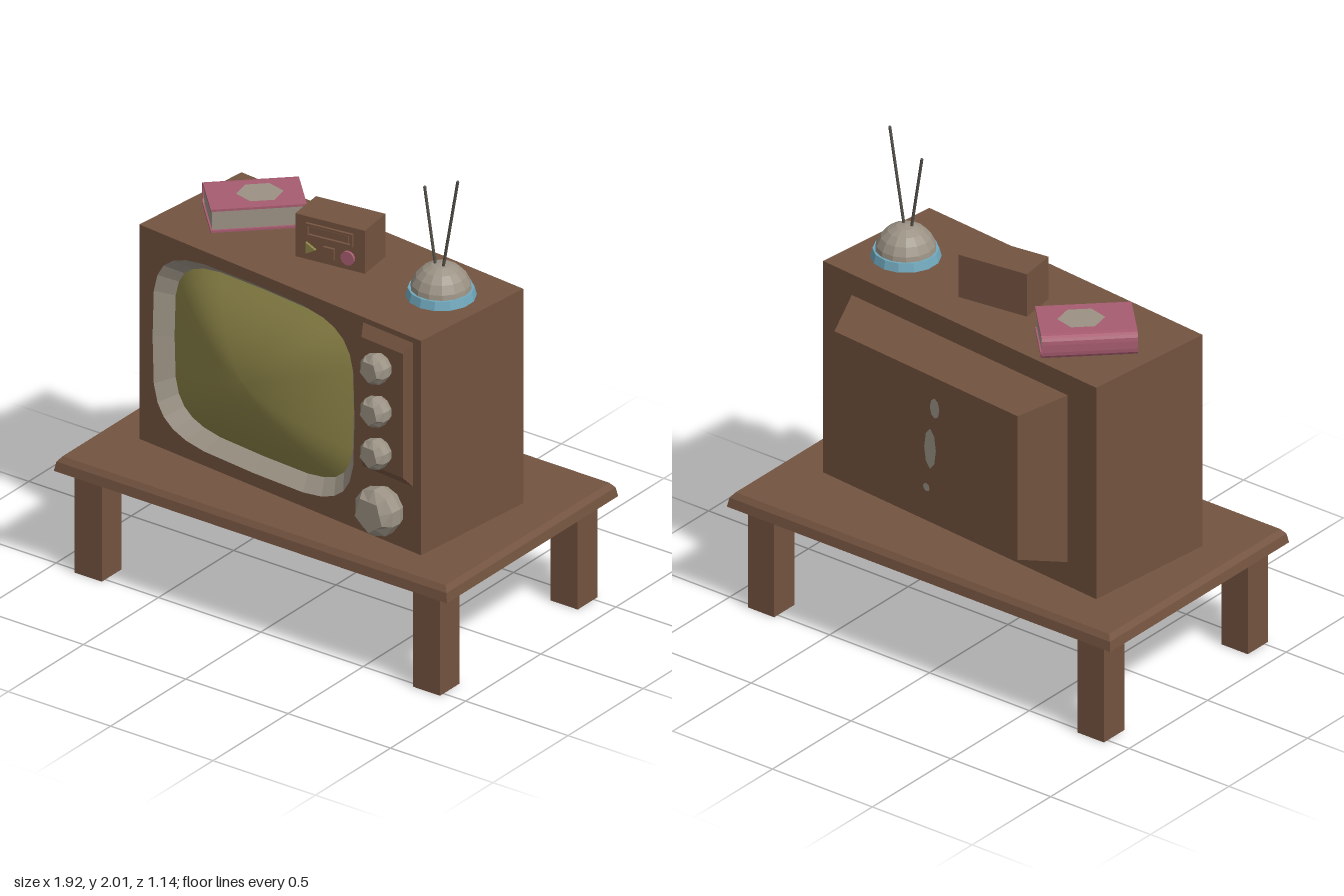
import * as THREE from 'three';

const mat = (name, color) => {
  const m = new THREE.MeshStandardMaterial({ color });
  m.name = name;
  return m;
};

// Separate every face so it gets its own flat normal
const flat = (g) => {
  const f = g.index ? g.toNonIndexed() : g;
  f.computeVertexNormals();
  return f;
};

// Box whose +z end is scaled to a smaller rectangle; base sits at z = 0
function frustum(w, h, d, w2, h2) {
  const g = new THREE.BoxGeometry(w, h, d).translate(0, 0, d / 2);
  const p = g.attributes.position;
  for (let i = 0; i < p.count; i++) {
    if (p.getZ(i) > d / 2) p.setXY(i, p.getX(i) * w2 / w, p.getY(i) * h2 / h);
  }
  return flat(g);
}

// Rounded tube-screen outline
const N = 28;
function outline(a, b) {
  const pts = [];
  const f = (v) => Math.sign(v) * Math.pow(Math.abs(v), 2 / 4.2);
  for (let i = 0; i < N; i++) {
    const t = (i / N) * Math.PI * 2;
    pts.push(new THREE.Vector2(a * f(Math.cos(t)), b * f(Math.sin(t))));
  }
  return pts;
}

// Skin between outlines, listed from the outside in: [halfWidth, halfHeight, z]
function loft(rings) {
  const pos = [], idx = [];
  rings.forEach(([a, b, z]) => outline(a, b).forEach((p) => pos.push(p.x, p.y, z)));
  for (let r = 0; r < rings.length - 1; r++) {
    for (let i = 0; i < N; i++) {
      const a = r * N + i, b = r * N + (i + 1) % N;
      idx.push(a, b, b + N, a, b + N, a + N);
    }
  }
  const g = new THREE.BufferGeometry();
  g.setAttribute('position', new THREE.Float32BufferAttribute(pos, 3));
  g.setIndex(idx);
  g.computeVertexNormals();
  return g;
}

// Faceted dial with a five-sided face, pointing along +z
function knobGeometry(r, h) {
  const profile = [[0.85, 0], [1, 0.3], [1, 0.7], [0.74, 1], [0, 1]]
    .map(([x, y]) => new THREE.Vector2(x * r, y * h));
  const g = new THREE.LatheGeometry(profile, 10);
  const p = g.attributes.position;
  for (let i = 0; i < p.count; i++) {
    const odd = Math.floor(i / profile.length) % 2;
    if (odd && p.getY(i) > 0.9 * h) p.setXYZ(i, p.getX(i) * 0.81, p.getY(i), p.getZ(i) * 0.81);
  }
  return flat(g.rotateX(Math.PI / 2));
}

export function createModel() {
  const wood = mat('wood brown', 0x73533f);
  const grey = mat('warm grey', 0x9b9284);
  const olive = mat('screen olive', 0x8a8146);
  const pink = mat('book pink', 0xa75c70);
  const blue = mat('ring blue', 0x70a8bc);
  const metal = mat('dark metal', 0x55514a);

  const root = new THREE.Group();
  const add = (parent, name, g, m, x = 0, y = 0, z = 0) => {
    const mesh = new THREE.Mesh(g, m);
    mesh.name = name;
    mesh.position.set(x, y, z);
    parent.add(mesh);
    return mesh;
  };
  const group = (name, x, y, z, turn) => {
    const g = new THREE.Group();
    g.name = name;
    g.position.set(x, y, z);
    g.rotation.y = turn;
    root.add(g);
    return g;
  };
  const box = (w, h, d) => new THREE.BoxGeometry(w, h, d);

  // Table
  const table = group('table', 0, 0, 0, 0);
  const lie = (g) => g.rotateX(-Math.PI / 2);
  add(table, 'tableTop', lie(frustum(1.92, 1.14, 0.04, 1.905, 1.125)), wood, 0, 0.45, 0);
  add(table, 'tableTopBevel', lie(frustum(1.905, 1.125, 0.022, 1.87, 1.09)), wood, 0, 0.49, 0);
  for (const sx of [-1, 1]) for (const sz of [-1, 1]) {
    add(table, 'leg', box(0.132, 0.45, 0.13), wood, sx * 0.826, 0.225, sz * 0.458);
  }

  // Television cabinet, slightly turned; front slab has the screen opening
  const tv = group('television', -0.0075, 0, 0.02, -0.1);
  const W = 1.4925, H = 0.95, midY = 0.987, scrX = -0.14;
  add(tv, 'cabinet', box(W, H, 0.5), wood, 0, midY, -0.05);
  const face = new THREE.Shape([[-1, -1], [1, -1], [1, 1], [-1, 1]]
    .map(([x, y]) => new THREE.Vector2(x * W / 2, y * H / 2)));
  face.holes.push(new THREE.Path(outline(0.535, 0.42).map((p) => p.add(new THREE.Vector2(scrX, 0.003))).reverse()));
  add(tv, 'cabinetFront', new THREE.ExtrudeGeometry(face, { depth: 0.102, bevelEnabled: false }), wood, 0, midY, 0.2);
  add(tv, 'cabinetBack', frustum(1.18, 0.75, 0.192, 1.0, 0.645).rotateY(Math.PI), wood, 0, 0.994, -0.3);

  // Worn patches on the back
  [[-0.05, 1.18, 0.026, 0.045], [-0.025, 0.99, 0.032, 0.09], [-0.005, 0.81, 0.018, 0.018]].forEach(([x, y, rx, ry]) => {
    const g = new THREE.CircleGeometry(1, 8).scale(rx, ry, 1).rotateY(Math.PI);
    add(tv, 'backPatch', g, grey, x, y, -0.495);
  });

  // Recessed bezel and bulging screen
  add(tv, 'screenBezel', flat(loft([[0.535, 0.42, 0.303], [0.475, 0.37, 0.24]])), grey, scrX, 0.99, 0);
  const dome = [];
  for (let i = 0; i <= 8; i++) {
    const r = Math.max(1 - i / 8, 0.001);
    dome.push([0.475 * r, 0.37 * r, 0.24 + 0.126 * (1 - r * r)]);
  }
  add(tv, 'screen', loft(dome), olive, scrX, 0.99, 0);

  // Control panel and dials
  add(tv, 'controlPanel', frustum(0.265, 0.64, 0.036, 0.22, 0.55), wood, 0.572, 1.12, 0.301);
  for (const y of [1.305, 1.115, 0.928]) add(tv, 'dial', knobGeometry(0.064, 0.08), grey, 0.568, y, 0.335);
  add(tv, 'largeDial', knobGeometry(0.102, 0.115), grey, 0.568, 0.668, 0.3);

  // Indoor aerial
  const aerial = group('aerial', 0.535, 1.462, 0.03, 0);
  add(aerial, 'aerialRing', flat(new THREE.CylinderGeometry(0.132, 0.141, 0.036, 14)), blue, 0, 0.018, 0);
  add(aerial, 'aerialDome', flat(new THREE.SphereGeometry(0.125, 14, 5, 0, Math.PI * 2, 0, Math.PI / 2)), grey, 0, 0.018, 0);
  [[-0.015, 0.1, 0.01, -0.076, 0.456, 0.005], [0.012, 0.1, 0.01, 0.096, 0.537, 0.02]].forEach(([a, b, c, d, e, f]) => {
    const path = new THREE.LineCurve3(new THREE.Vector3(a, b, c), new THREE.Vector3(d, e, f));
    add(aerial, 'aerialRod', new THREE.TubeGeometry(path, 1, 0.006, 6), metal);
    add(aerial, 'rodTip', new THREE.SphereGeometry(0.007, 6, 4), metal, d, e, f);
  });

  // Small player box with slot and buttons
  const player = group('player', 0.02, 1.462, -0.002, 0.128);
  add(player, 'playerBody', box(0.3125, 0.19, 0.168), wood, 0, 0.095, 0);
  for (const s of [-1, 1]) {
    add(player, 'slotRim', box(0.21, 0.009, 0.016), wood, 0, 0.136 + s * 0.024, 0.088);
    add(player, 'slotEnd', box(0.009, 0.057, 0.016), wood, s * 0.1, 0.136, 0.088);
  }
  add(player, 'slotDoor', box(0.17, 0.03, 0.008), wood, 0, 0.136, 0.086);
  const button = (name, r, n, m, x, turn) => {
    const g = new THREE.CylinderGeometry(r, r, 0.016, n).rotateX(Math.PI / 2).rotateZ(turn);
    add(player, name, flat(g), m, x, 0.054, 0.088);
  };
  button('playButton', 0.029, 3, olive, -0.09, -Math.PI / 2 + Math.PI);
  button('stopButton', 0.035, 4, wood, -0.002, Math.PI / 4);
  button('recordButton', 0.03, 14, pink, 0.083, 0);

  // Book: wrapped cover with a rounded spine at -z, pages inside
  const book = group('book', -0.4625, 1.462, -0.0875, 0.766);
  const wrap = (front, inset, r) => {
    const s = new THREE.Shape();
    const top = 0.103 - inset, back = 0.131 - inset;
    s.moveTo(-front, inset);
    s.lineTo(back - r, inset);
    s.quadraticCurveTo(back, inset, back, inset + r);
    s.lineTo(back, top - r);
    s.quadraticCurveTo(back, top, back - r, top);
    s.lineTo(-front, top);
    return s;
  };
  const slab = (shape, len) => new THREE.ExtrudeGeometry(shape, { depth: len, bevelEnabled: false, curveSegments: 4 })
    .translate(0, 0, -len / 2).rotateY(Math.PI / 2);
  const cover = wrap(0.131, 0, 0.035);
  const inner = wrap(0.131, 0.01, 0.028).getPoints(4).reverse();
  inner.forEach((p) => cover.lineTo(p.x, p.y));
  add(book, 'bookCover', slab(cover, 0.382), pink);
  add(book, 'bookPages', slab(wrap(0.122, 0.01, 0.028), 0.368), grey);
  const label = new THREE.CircleGeometry(0.095, 6).scale(1, 0.88, 1).rotateX(-Math.PI / 2);
  add(book, 'coverLabel', label, grey, 0.02, 0.106, 0.012);

  return root;
}
